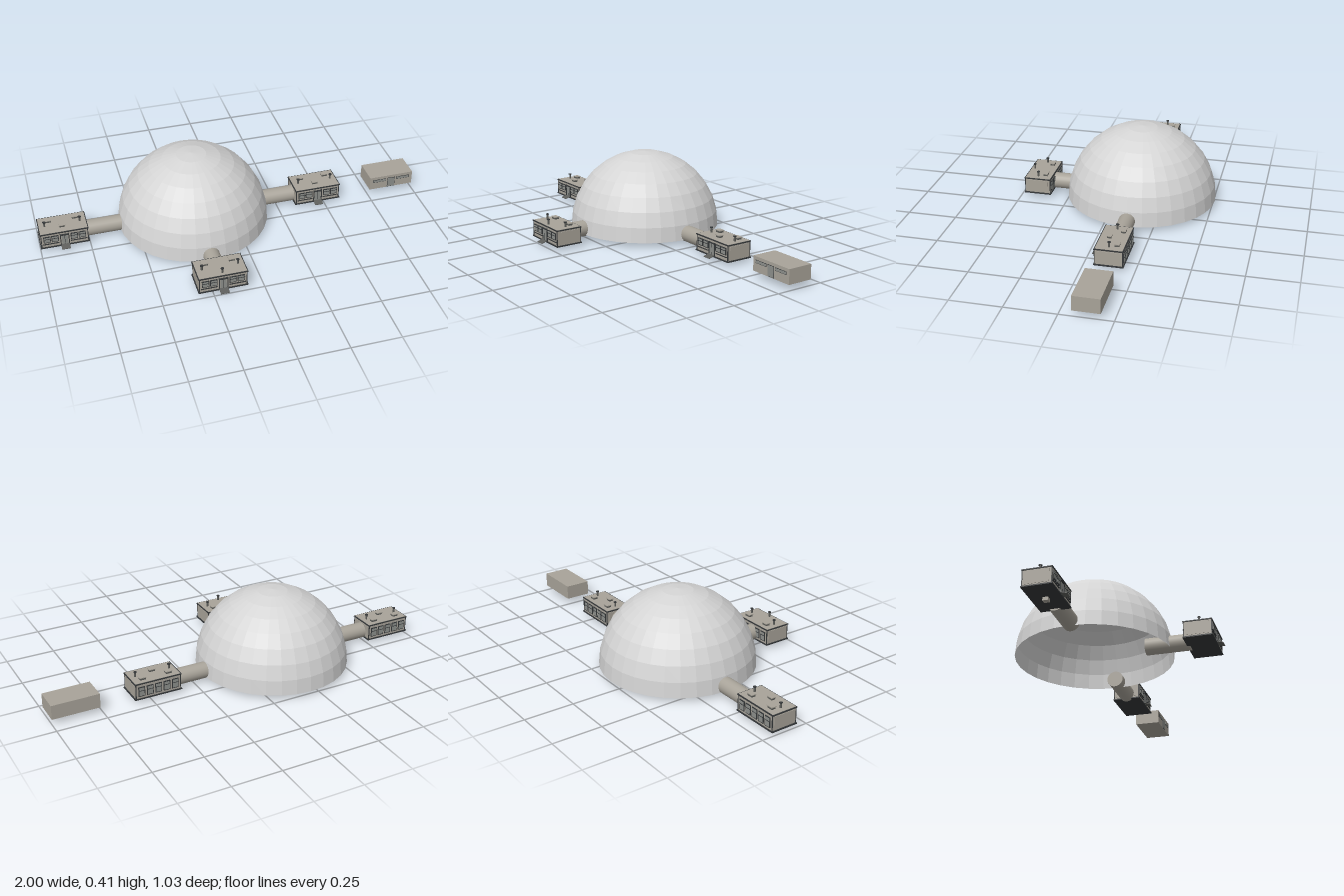
import * as THREE from 'three';

const mat = (name, color, side = THREE.FrontSide) => {
  const m = new THREE.MeshStandardMaterial({ color, side });
  m.name = name;
  return m;
};

export function createModel() {
  const root = new THREE.Group();
  root.name = 'domeBase';

  const domeGrey = mat('domeGrey', 0xd4d4d4, THREE.DoubleSide);
  const wallGrey = mat('wallGrey', 0xa8a399);
  const tubeGrey = mat('tubeGrey', 0xa9a49a, THREE.DoubleSide);
  const darkTrim = mat('darkTrim', 0x35383a);
  const ventGrey = mat('ventGrey', 0x5c5d5a);
  const glass = mat('windowGrey', 0x8d908c);

  const add = (parent, name, geo, material, x, y, z) => {
    const mesh = new THREE.Mesh(geo, material);
    mesh.name = name;
    mesh.position.set(x, y, z);
    parent.add(mesh);
    return mesh;
  };
  const box = (parent, name, m, w, h, d, x, y, z) =>
    add(parent, name, new THREE.BoxGeometry(w, h, d), m, x, y, z);
  const rod = (parent, name, m, r, h, x, y, z) =>
    add(parent, name, new THREE.CylinderGeometry(r, r, h, 10), m, x, y, z);

  // Faceted open dome
  const domeGeo = new THREE.SphereGeometry(0.387, 32, 8, 0, Math.PI * 2, 0, Math.PI / 2).toNonIndexed();
  domeGeo.computeVertexNormals();
  add(root, 'dome', domeGeo, domeGrey, -0.2, 0.019, -0.125);

  // Connecting tunnels, reaching a little way inside the dome
  const tunnel = (x, z, alongX) => {
    const geo = new THREE.CylinderGeometry(0.041, 0.041, 0.22, 24);
    const t = add(root, 'tunnel', geo, tubeGrey, x, 0.048, z);
    if (alongX) t.rotation.z = Math.PI / 2;
    else t.rotation.x = Math.PI / 2;
  };
  tunnel(-0.66, -0.125, true);
  tunnel(0.245, -0.125, true);
  tunnel(-0.2, 0.245, false);

  // Framed window: dark frame, pane and centre bar; s is +1 on the front, -1 on the back
  const framedWindow = (g, x, y, w, h, s) => {
    const z = s * 0.068;
    box(g, 'windowFrame', darkTrim, w, h, 0.006, x, y, z);
    box(g, 'windowPane', glass, w - 0.007, h - 0.008, 0.008, x, y, z);
    box(g, 'windowBar', darkTrim, w, 0.003, 0.01, x, y + h * 0.12, z);
  };

  // Habitat module, centred on its own x and z
  const habitat = (x, z, frontUnit) => {
    const g = new THREE.Group();
    g.name = 'habitat';
    g.position.set(x, 0, z);
    root.add(g);

    box(g, 'walls', wallGrey, 0.236, 0.078, 0.134, 0, 0.061, 0);
    box(g, 'basePlate', darkTrim, 0.247, 0.006, 0.143, 0, 0.019, 0);
    box(g, 'roofTrim', darkTrim, 0.245, 0.005, 0.141, 0, 0.099, 0);
    box(g, 'roof', wallGrey, 0.236, 0.006, 0.132, 0, 0.1, 0);

    // Front: windows on both sides of the door, with rails and corner posts
    for (const s of [-1, 1]) {
      for (let i = 0; i < 2; i++) framedWindow(g, s * (0.048 + i * 0.04), 0.067, 0.036, 0.036, 1);
      box(g, 'lowerRail', darkTrim, 0.082, 0.004, 0.006, s * 0.07, 0.039, 0.068);
      box(g, 'doorPost', darkTrim, 0.004, 0.066, 0.008, s * 0.021, 0.055, 0.068);
      for (const b of [-1, 1]) box(g, 'cornerPost', darkTrim, 0.004, 0.076, 0.004, s * 0.117, 0.06, b * 0.067);
      // Side wall panel
      box(g, 'sidePanel', wallGrey, 0.004, 0.06, 0.11, s * 0.118, 0.06, 0);
    }
    box(g, 'door', glass, 0.03, 0.056, 0.006, 0, 0.051, 0.068);
    box(g, 'doorSeam', darkTrim, 0.002, 0.056, 0.008, 0, 0.051, 0.068);
    box(g, 'doorLintel', darkTrim, 0.044, 0.004, 0.012, 0, 0.084, 0.07);

    // Entrance ramp
    const ramp = box(g, 'ramp', ventGrey, 0.044, 0.003, 0.034, 0, 0.021, 0.085);
    ramp.rotation.x = 0.28;

    // Row of windows along the back
    for (let i = -2; i <= 2; i++) {
      if (frontUnit && i === 0) continue;
      framedWindow(g, i * 0.044, 0.058, 0.034, 0.05, -1);
    }

    // Roof fittings
    for (const s of [-1, 1]) {
      box(g, 'roofVent', ventGrey, 0.03, 0.01, 0.022, s * 0.068, 0.107, -0.032);
      box(g, 'roofVentLid', wallGrey, 0.035, 0.004, 0.026, s * 0.068, 0.114, -0.032);
      rod(g, 'roofPipe', ventGrey, 0.005, 0.028, s * 0.089, 0.114, 0.003);
      rod(g, 'roofPipeCap', darkTrim, 0.008, 0.004, s * 0.089, 0.128, 0.003);
    }
    if (frontUnit) {
      rod(g, 'frontPipe', ventGrey, 0.005, 0.028, 0, 0.114, 0.048);
      rod(g, 'frontPipeCap', darkTrim, 0.008, 0.004, 0, 0.128, 0.048);
    } else {
      box(g, 'centreVent', ventGrey, 0.028, 0.01, 0.02, -0.004, 0.107, 0.022);
      box(g, 'centreVentLid', wallGrey, 0.033, 0.004, 0.025, -0.004, 0.114, 0.022);
    }
    return g;
  };
  const leftmost = habitat(-0.8755, -0.125, false);
  habitat(0.4625, -0.125, false);
  habitat(-0.2, 0.412, true);

  // Small fitting under the outer module
  box(leftmost, 'underFitting', wallGrey, 0.026, 0.018, 0.026, 0, 0.009, 0);

  // Detached plain hut with strip windows and a door
  const hut = new THREE.Group();
  hut.name = 'hut';
  hut.position.set(0.88, 0, -0.125);
  root.add(hut);
  box(hut, 'hutWalls', wallGrey, 0.24, 0.073, 0.13, 0, 0.0645, 0);
  const plate = (name, w, h, x, y) => {
    box(hut, name + 'Frame', darkTrim, w, h, 0.003, x, y, 0.065);
    box(hut, name, glass, w - 0.004, h - 0.004, 0.005, x, y, 0.065);
  };
  for (const s of [-1, 1]) plate('hutWindow', 0.074, 0.016, s * 0.066, 0.077);
  plate('hutDoor', 0.042, 0.056, 0, 0.058);

  return root;
}
